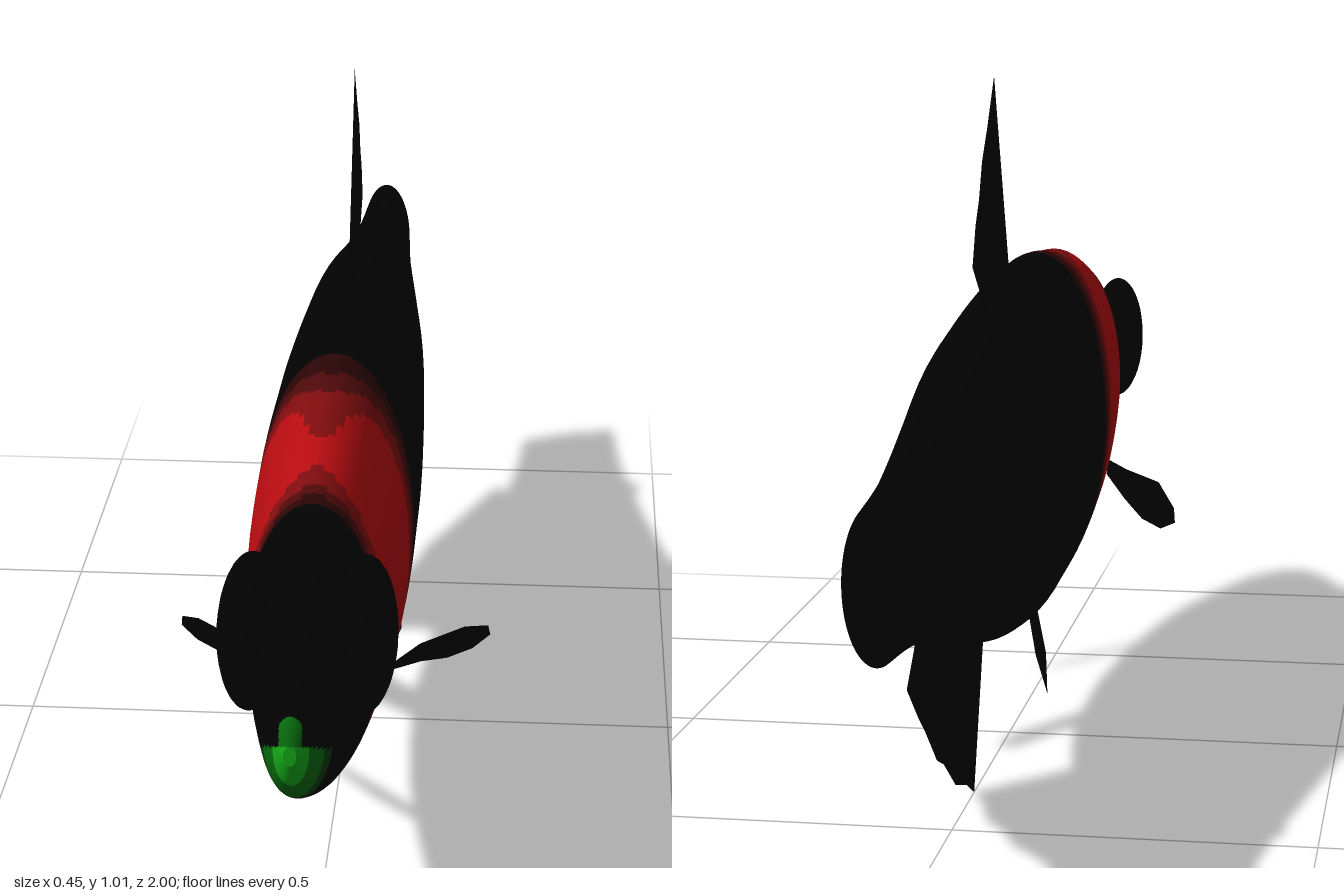
import * as THREE from 'three';

const mat = (name, color, side = THREE.FrontSide) => {
  const m = new THREE.MeshStandardMaterial({ color, side });
  m.name = name;
  return m;
};

export function createModel() {
  const black = mat('black', 0x020202, THREE.DoubleSide);
  const skin = [
    black,
    mat('darkest red', 0x2a0506), mat('dark red', 0x4e090a),
    mat('mid red', 0x7e0c0e), mat('bright red', 0xb60c10),
    mat('dark green', 0x0a3e0e), mat('mid green', 0x086c0e), mat('bright green', 0x14ac18),
  ];
  const model = new THREE.Group();
  model.name = 'fish';
  const add = (name, geometry, material = black) => {
    const mesh = new THREE.Mesh(geometry, material);
    mesh.name = name;
    mesh.position.y = -0.005; // lowest fin tip rests on the ground
    model.add(mesh);
    return mesh;
  };

  // Body profile: z, top, bottom, half width
  const profile = [
    [1, 0.495, 0.468, 0.008], [0.985, 0.525, 0.435, 0.021], [0.95, 0.555, 0.4, 0.036],
    [0.9, 0.582, 0.368, 0.048], [0.8, 0.622, 0.315, 0.066], [0.72, 0.645, 0.28, 0.079],
    [0.64, 0.664, 0.255, 0.09], [0.5, 0.695, 0.222, 0.103], [0.4, 0.705, 0.205, 0.109],
    [0.25, 0.717, 0.184, 0.113], [0.1, 0.714, 0.178, 0.113], [-0.02, 0.708, 0.178, 0.112],
    [-0.2, 0.69, 0.2, 0.106], [-0.35, 0.67, 0.23, 0.098], [-0.5, 0.635, 0.257, 0.085],
    [-0.65, 0.602, 0.3, 0.07], [-0.8, 0.576, 0.338, 0.055], [-0.9, 0.566, 0.352, 0.048],
    [-1, 0.56, 0.36, 0.042],
  ];
  const curve = (f) => new THREE.CatmullRomCurve3(
    profile.map((p) => new THREE.Vector3(...f(p))), false, 'catmullrom');
  const heights = curve(([z, t, b]) => [t, b, z]);
  const widths = curve(([z, , , w]) => [w, 0, z]);

  // Red collar and green lower jaw, graded in flat steps
  const tone = (x, y, z) => {
    if (z > 0.905 && y < 0.44 + (z - 0.9) * 0.55) return z > 0.983 ? 7 : z > 0.94 ? 6 : 5;
    if (z > 0.984 && Math.abs(x) < 0.014) return 6;
    if (z < 0.262 || z > 0.655) return 0;
    const reach = (c, a, h) => Math.pow(Math.abs((z - c) / a), 4) + Math.pow(Math.abs((y - 0.455) / h), 4);
    if (reach(0.485, 0.132, 0.238) < 1) return 4;
    if (reach(0.477, 0.162, 0.262) < 1) return 3;
    if (reach(0.467, 0.182, 0.29) < 1) return 2;
    return 1;
  };

  const rings = (profile.length - 1) * 14, sides = 72;
  const pos = [];
  for (let i = 0; i <= rings; i++) {
    const h = heights.getPoint(i / rings), w = widths.getPoint(i / rings).x;
    for (let j = 0; j < sides; j++) {
      const a = j / sides * Math.PI * 2;
      pos.push(Math.sin(a) * w, (h.x + h.y) / 2 + Math.cos(a) * (h.x - h.y) / 2, h.z);
    }
  }
  const buckets = skin.map(() => []);
  for (let i = 0; i < rings; i++) {
    for (let j = 0; j < sides; j++) {
      const a = i * sides + j, b = i * sides + (j + 1) % sides;
      const c = a + sides, d = b + sides;
      const mid = (k) => (pos[a * 3 + k] + pos[d * 3 + k]) / 2;
      buckets[tone(mid(0), mid(1), mid(2))].push(a, b, c, b, d, c);
    }
  }
  const body = new THREE.BufferGeometry();
  body.setAttribute('position', new THREE.Float32BufferAttribute(pos, 3));
  body.setIndex(buckets.flat());
  let start = 0;
  buckets.forEach((list, k) => {
    body.addGroup(start, list.length, k);
    start += list.length;
  });
  body.computeVertexNormals();
  add('body', body, skin);

  // Flat ends: the tail stump and the tip of the snout
  const stump = add('tailStump', new THREE.CircleGeometry(1, sides));
  stump.scale.set(0.042, 0.1, 1);
  stump.position.set(0, 0.455, -1);
  stump.rotation.y = Math.PI;
  const tip = add('snoutTip', new THREE.CircleGeometry(1, sides), skin[7]);
  tip.scale.set(0.008, 0.0135, 1);
  tip.position.set(0, 0.4765, 1);

  // Thin fins on the midline, outlined in z and y
  const medianFin = (name, points) => {
    const shape = new THREE.Shape(points.map((p) => new THREE.Vector2(...p)));
    add(name, new THREE.ShapeGeometry(shape).rotateY(-Math.PI / 2));
  };
  medianFin('dorsalFin', [[0, 0.69], [0, 0.71], [-0.14, 1.015], [-0.2, 0.945], [-0.245, 0.9],
    [-0.27, 0.85], [-0.3, 0.815], [-0.325, 0.76], [-0.21, 0.68], [-0.2, 0.65]]);
  medianFin('adiposeFin', [[-0.58, 0.59], [-0.65, 0.615], [-0.705, 0.638], [-0.745, 0.605],
    [-0.79, 0.585], [-0.8, 0.55]]);
  medianFin('analFin', [[-0.23, 0.23], [-0.245, 0.2], [-0.32, 0.005], [-0.38, 0.033],
    [-0.47, 0.06], [-0.56, 0.115], [-0.61, 0.135], [-0.69, 0.195], [-0.735, 0.225],
    [-0.815, 0.285], [-0.765, 0.325], [-0.74, 0.35], [-0.5, 0.29]]);

  // Paired fins: an outline with a slightly raised middle on both faces
  const pairedFin = (name, points, bulge, side) => {
    const ring = points.map(([x, y, z]) => new THREE.Vector3(x * side, y, z));
    const center = new THREE.Vector3(), normal = new THREE.Vector3();
    ring.forEach((p, i) => {
      center.addScaledVector(p, 1 / ring.length);
      normal.add(p.clone().cross(ring[(i + 1) % ring.length]));
    });
    normal.normalize();
    const up = center.clone().addScaledVector(normal, bulge);
    const down = center.clone().addScaledVector(normal, -bulge);
    const verts = [];
    ring.forEach((p, i) => {
      const q = ring[(i + 1) % ring.length];
      for (const v of [p, q, up, q, p, down]) verts.push(v.x, v.y, v.z);
    });
    const g = new THREE.BufferGeometry();
    g.setAttribute('position', new THREE.Float32BufferAttribute(verts, 3));
    g.computeVertexNormals();
    add(name, g);
  };

  for (const [label, side] of [['left', 1], ['right', -1]]) {
    const eye = add(label + 'Eye', new THREE.SphereGeometry(1, 32, 20));
    eye.scale.set(0.043, 0.102, 0.102);
    eye.position.set(0.073 * side, 0.512, 0.735);

    pairedFin(label + 'PectoralFin', [[0.09, 0.345, 0.485], [0.13, 0.343, 0.41],
      [0.19, 0.337, 0.34], [0.222, 0.308, 0.275], [0.225, 0.287, 0.262], [0.2, 0.273, 0.28],
      [0.165, 0.279, 0.325], [0.13, 0.3, 0.38], [0.09, 0.325, 0.46]], 0.01, side);

    pairedFin(label + 'PelvicFin', [[0.03, 0.195, 0.07], [0.045, 0.145, 0.01],
      [0.06, 0.115, -0.04], [0.07, 0.1, -0.09], [0.077, 0.102, -0.125], [0.075, 0.13, -0.135],
      [0.067, 0.153, -0.11], [0.052, 0.172, -0.06], [0.035, 0.195, -0.03]], 0.008, side);
  }
  return model;
}
